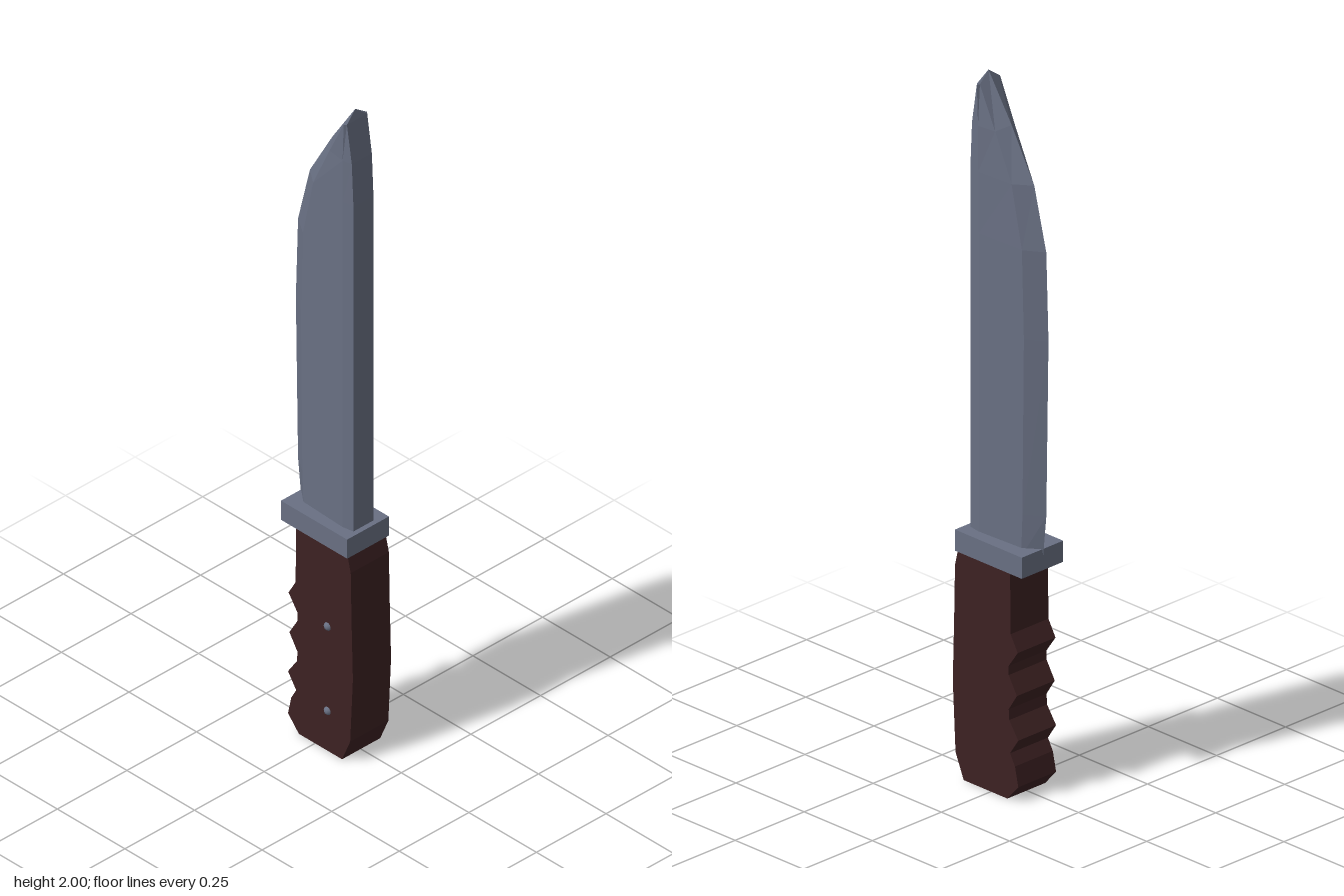
import * as THREE from 'three';

// Low-poly bladed tool: lofted blade, guard, notched grip, two rivets.
export function createModel() {
  const steel = new THREE.MeshStandardMaterial({ color: 0x697083 });
  steel.name = 'steel';
  const wood = new THREE.MeshStandardMaterial({ color: 0x3c2122 });
  wood.name = 'dark wood';

  const group = new THREE.Group();
  group.name = 'knife';
  const add = (name, geometry, material, x = 0, y = 0, z = 0) => {
    const mesh = new THREE.Mesh(geometry, material);
    mesh.name = name;
    mesh.position.set(x, y, z);
    group.add(mesh);
    return mesh;
  };

  add('blade', bladeGeometry(), steel);
  add('guard', new THREE.BoxGeometry(0.245, 0.06, 0.15), steel, 0.0025, 0.675, -0.002);

  // Grip: side outline with finger notches, extruded across z
  const outline = [
    [-0.07, 0.65], [-0.072, 0.47], [-0.098, 0.425], [-0.065, 0.378], [-0.065, 0.352],
    [-0.095, 0.302], [-0.065, 0.255], [-0.067, 0.225], [-0.1, 0.177], [-0.07, 0.132],
    [-0.088, 0.1], [-0.1, 0.045], [-0.06, 0], [0.1, 0], [0.13, 0.07],
    [0.14, 0.27], [0.135, 0.45], [0.132, 0.6], [0.12, 0.65],
  ].map(([x, y]) => new THREE.Vector2(x, y));
  const grip = new THREE.ExtrudeGeometry(new THREE.Shape(outline), { depth: 0.137, bevelEnabled: false });
  add('grip', grip, wood, 0, 0, -0.07);

  // Rivets on the front face of the grip
  for (const y of [0.125, 0.39]) {
    add('rivet', new THREE.SphereGeometry(0.013, 10, 6), steel, 0.046, y, 0.063);
  }
  return group;
}

// Blade lofted upward through seven-point sections: edge, bevel, shoulder, spine and mirror
function bladeGeometry() {
  // edge x, edge y, bevel x, shoulder x, spine x, body y
  const rows = [
    [-0.12, 0.68, -0.075, 0.075, 0.11, 0.68],
    [-0.132, 0.8, -0.08, 0.075, 0.11, 0.8],
    [-0.14, 1.3, -0.085, 0.075, 0.11, 1.3],
    [-0.132, 1.55, -0.078, 0.075, 0.11, 1.55],
    [-0.088, 1.725, -0.04, 0.075, 0.11, 1.725],
    [-0.005, 1.87, 0.02, 0.076, 0.104, 1.855],
    [0.08, 2.0, 0.076, 0.08, 0.086, 1.97],
  ];
  const n = 7;
  const positions = [];
  const index = [];
  for (const [ex, ey, bx, hx, sx, y] of rows) {
    positions.push(ex, ey, 0, bx, y, 0.035, hx, y, 0.042, sx, y, 0.036);
    positions.push(sx, y, -0.036, hx, y, -0.042, bx, y, -0.035);
  }
  for (let i = 0; i < rows.length - 1; i++) {
    for (let j = 0; j < n; j++) {
      const a = i * n + j;
      const b = i * n + ((j + 1) % n);
      index.push(a, b, b + n, a, b + n, a + n);
    }
  }
  // End caps
  const top = (rows.length - 1) * n;
  for (let j = 1; j < n - 1; j++) {
    index.push(top, top + j, top + j + 1, 0, j + 1, j);
  }
  const indexed = new THREE.BufferGeometry();
  indexed.setAttribute('position', new THREE.Float32BufferAttribute(positions, 3));
  indexed.setIndex(index);
  const geometry = indexed.toNonIndexed();
  geometry.computeVertexNormals();
  return geometry;
}
